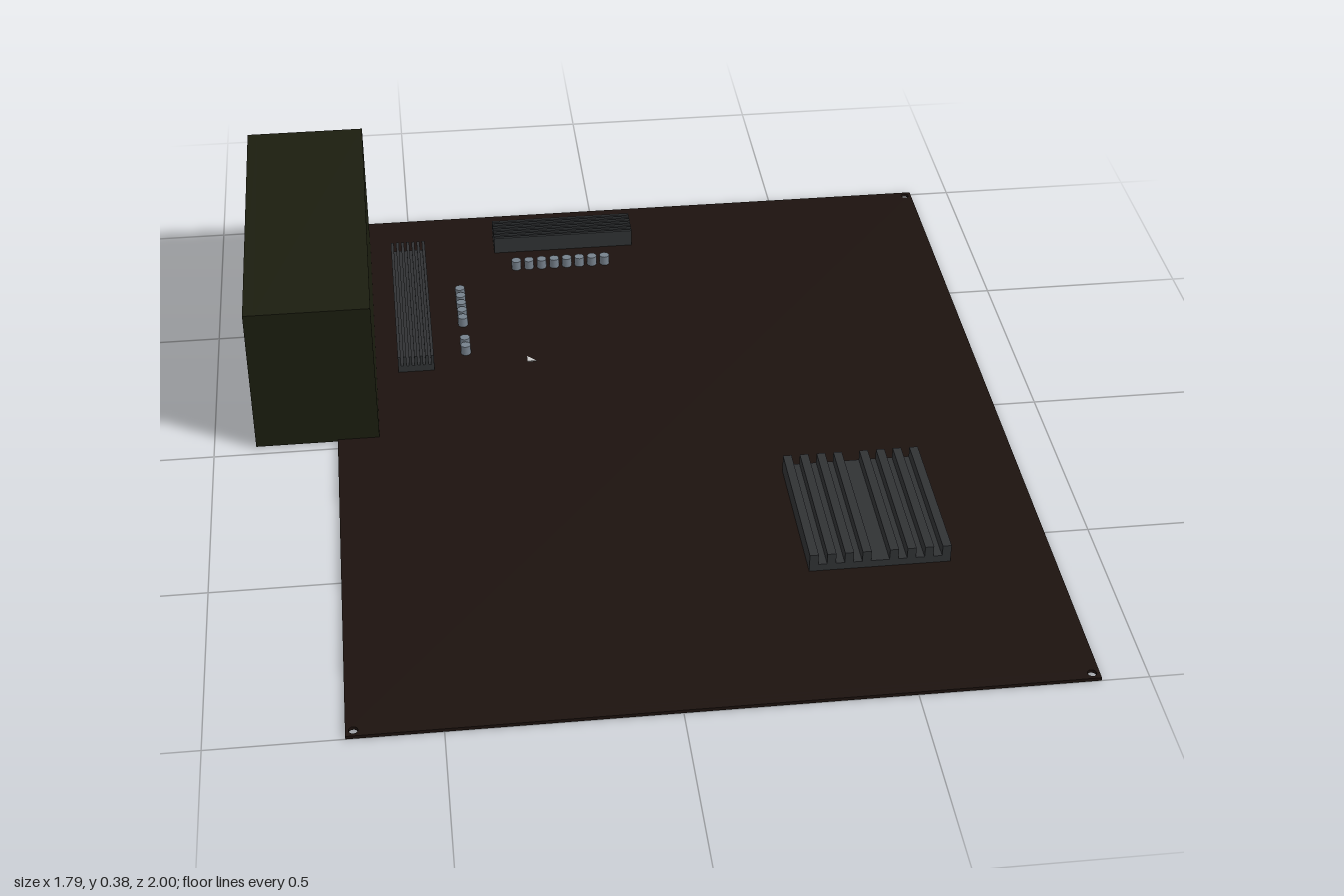
import * as THREE from 'three';

const material = (color) => new THREE.MeshStandardMaterial({ color });
const boardMat = material(0x1c120e);
const shroudMat = material(0x1b1d0f);
const finMat = material(0x303234);
const capMat = material(0x76818c);
const markMat = material(0xdddddd);

const BOARD_TOP = 0.008;

function add(parent, name, geometry, mat, x = 0, y = 0, z = 0) {
  const mesh = new THREE.Mesh(geometry, mat);
  mesh.name = name;
  mesh.position.set(x, y, z);
  parent.add(mesh);
  return mesh;
}

// Box given by its lower and upper corners
function addBox(parent, name, mat, [x0, y0, z0], [x1, y1, z1]) {
  return add(parent, name, new THREE.BoxGeometry(x1 - x0, y1 - y0, z1 - z0), mat,
    (x0 + x1) / 2, (y0 + y1) / 2, (z0 + z1) / 2);
}

function rectangle(PathType, x0, y0, x1, y1) {
  const path = new PathType();
  path.moveTo(x0, y0);
  path.lineTo(x1, y0);
  path.lineTo(x1, y1);
  path.lineTo(x0, y1);
  path.closePath();
  return path;
}

// Base plate with fins along z; finStarts are offsets across the width
function heatsink(name, width, length, finWidth, finStarts) {
  const group = new THREE.Group();
  group.name = name;
  const h = length / 2;
  addBox(group, 'heatsinkBase', finMat, [-width / 2, 0, -h], [width / 2, 0.018, h]);
  for (const s of finStarts) {
    const x = s - width / 2;
    addBox(group, 'heatsinkFin', finMat, [x, 0.018, -h], [x + finWidth, 0.045, h]);
  }
  return group;
}

export function createModel() {
  const model = new THREE.Group();
  model.name = 'circuitBoard';

  // Flat board with a mounting hole in each corner
  const boardShape = rectangle(THREE.Shape, -0.705, -1, 0.895, 1);
  for (const x of [-0.688, 0.878]) {
    for (const y of [-0.983, 0.983]) {
      const hole = new THREE.Path();
      hole.absarc(x, y, 0.01, 0, Math.PI * 2, true);
      boardShape.holes.push(hole);
    }
  }
  const boardGeo = new THREE.ExtrudeGeometry(boardShape, { depth: BOARD_TOP, bevelEnabled: false, curveSegments: 8 });
  boardGeo.rotateX(-Math.PI / 2);
  add(model, 'board', boardGeo, boardMat);

  // Connector housing overhanging the edge, with recessed ports on the outer face
  const housing = new THREE.Group();
  housing.name = 'connectorHousing';
  model.add(housing);
  addBox(housing, 'housingBody', shroudMat, [-0.875, 0.003, -0.87], [-0.605, 0.38, -0.025]);
  const panel = rectangle(THREE.Shape, -0.87, 0.003, -0.025, 0.38);
  const portRows = [3, 2, 3, 3, 2, 3, 3];
  portRows.forEach((rows, i) => {
    const z = -0.82 + i * 0.112;
    for (let r = 0; r < rows; r++) {
      const y = 0.045 + r * (rows === 3 ? 0.09 : 0.13);
      panel.holes.push(rectangle(THREE.Path, z, y, z + 0.075, y + (rows === 3 ? 0.035 : 0.06)));
    }
  });
  const panelGeo = new THREE.ExtrudeGeometry(panel, { depth: 0.025, bevelEnabled: false });
  panelGeo.rotateY(-Math.PI / 2);
  add(housing, 'portPanel', panelGeo, shroudMat, -0.875);

  // Two slim heatsinks with thin fins, set at right angles
  const thinFins = Array.from({ length: 7 }, (_, i) => i * 0.0137);
  const sideSink = heatsink('sideHeatsink', 0.09, 0.535, 0.0075, thinFins);
  sideSink.position.set(-0.505, BOARD_TOP, -0.557);
  const rearSink = heatsink('rearHeatsink', 0.09, 0.37, 0.0075, thinFins);
  rearSink.rotation.y = Math.PI / 2;
  rearSink.position.set(-0.09, BOARD_TOP, -0.86);

  // Broad heatsink with two banks of four fins
  const wideFins = [0, 0.04, 0.08, 0.12, 0.182, 0.222, 0.262, 0.302];
  const chipSink = heatsink('chipHeatsink', 0.322, 0.37, 0.02, wideFins);
  chipSink.position.set(0.498, BOARD_TOP, 0.4);
  model.add(sideSink, rearSink, chipSink);

  // Capacitors in a row and a column
  const capGeo = new THREE.CylinderGeometry(0.0125, 0.0125, 0.025, 16);
  const capY = BOARD_TOP + 0.0125;
  for (let i = 0; i < 8; i++) {
    add(model, 'capacitor', capGeo, capMat, -0.222 + i * 0.0335, capY, -0.735);
  }
  for (const i of [0, 1, 2, 3, 4, 7, 8]) {
    const z = i < 5 ? -0.618 + i * 0.0335 : -0.39 + (i - 7) * 0.0335;
    add(model, 'capacitor', capGeo, capMat, -0.378, capY, z);
  }

  // Small triangular orientation mark
  const mark = new THREE.Shape();
  mark.moveTo(-0.226, 0.3);
  mark.lineTo(-0.204, 0.3);
  mark.lineTo(-0.226, 0.322);
  mark.closePath();
  const markGeo = new THREE.ExtrudeGeometry(mark, { depth: 0.002, bevelEnabled: false });
  markGeo.rotateX(-Math.PI / 2);
  add(model, 'cornerMark', markGeo, markMat, 0, BOARD_TOP, 0);

  return model;
}
